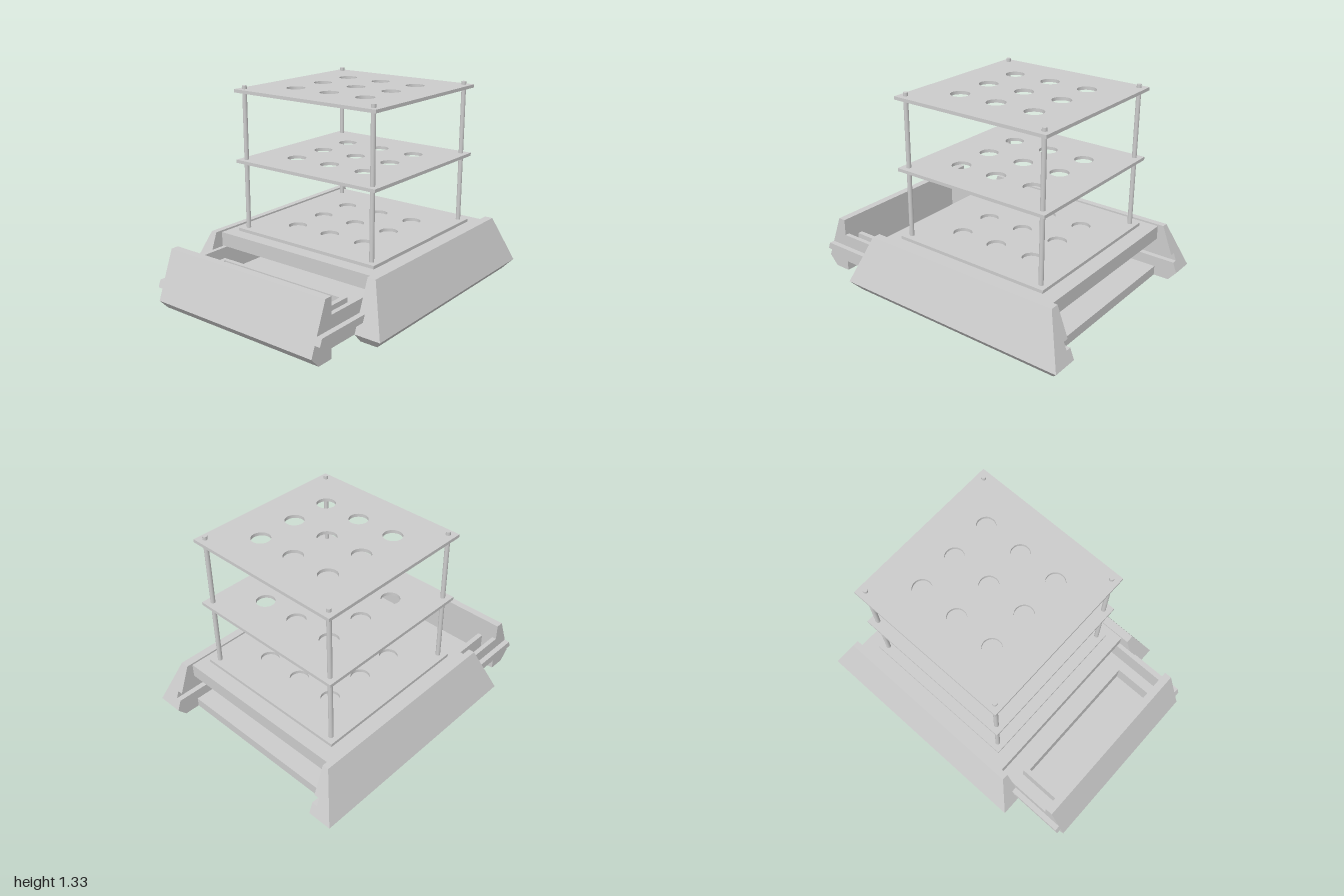
import * as THREE from 'three';

const mat = new THREE.MeshStandardMaterial({ color: 0xcccccc, flatShading: true, side: THREE.DoubleSide });
const smooth = new THREE.MeshStandardMaterial({ color: 0xcccccc });

const IN = 0.613;      // half width of the space between the side skirts
const OFF = -0.007;    // small sideways offset of everything between them

function add(parent, name, geo, material = mat) {
  const m = new THREE.Mesh(geo, material);
  m.name = name;
  parent.add(m);
  return m;
}

// box given by its limits
function box(parent, name, x0, x1, y0, y1, z0, z1) {
  const m = add(parent, name, new THREE.BoxGeometry(x1 - x0, y1 - y0, z1 - z0));
  m.position.set((x0 + x1) / 2, (y0 + y1) / 2, (z0 + z1) / 2);
  return m;
}

const shapeOf = pts => new THREE.Shape(pts.map(p => new THREE.Vector2(p[0], p[1])));

// extrudes a (z, y) profile along x from x0 to x1
function extrudeX(parent, name, pts, x0, x1) {
  const g = new THREE.ExtrudeGeometry(shapeOf(pts), { depth: x1 - x0, bevelEnabled: false });
  g.rotateY(-Math.PI / 2);
  g.translate(x1, 0, 0);
  return add(parent, name, g);
}

// how far the outer faces stand out at height y, relative to the widest line
const inset = y => (y < 0.07 ? (0.07 - y) * 0.85 : (y - 0.07) * 0.387);

// side skirt: profile with a groove, its ends sloped like its outer face
function skirt(side) {
  const group = new THREE.Group();
  group.name = side > 0 ? 'leftSkirt' : 'rightSkirt';
  const a = IN + side * OFF, b = a + 0.037;
  const upper = [[a, 0.07], [0.782, 0.07], [0.662, 0.38], [a, 0.38], [a, 0.19], [b, 0.19], [b, 0.14], [a, 0.14]];
  const lower = [[a, 0.005], [0.725, 0.005], [0.782, 0.07], [a, 0.07]];
  for (const [name, pts] of [['skirtWall', upper], ['skirtFoot', lower]]) {
    const mirrored = pts.map(([x, y]) => [x * side, y]);
    const g = new THREE.ExtrudeGeometry(shapeOf(mirrored), { depth: 1, bevelEnabled: false });
    const p = g.attributes.position;
    for (let i = 0; i < p.count; i++) {
      const d = inset(p.getY(i));
      p.setZ(i, p.getZ(i) > 0.5 ? 0.62 - d : -1 + d);
    }
    g.computeVertexNormals();
    add(group, name, g);
  }
  return group;
}

// square plate with nine round holes
function shelf(parent, name, y, thickness) {
  const s = shapeOf([[-0.55, -0.55], [0.55, -0.55], [0.55, 0.55], [-0.55, 0.55]]);
  for (let i = -1; i <= 1; i++) for (let j = -1; j <= 1; j++) {
    const hole = new THREE.Path();
    hole.absarc(i * 0.273, j * 0.273, 0.061, 0, Math.PI * 2, true);
    s.holes.push(hole);
  }
  const g = new THREE.ExtrudeGeometry(s, { depth: thickness, bevelEnabled: false, curveSegments: 24 });
  g.rotateX(-Math.PI / 2);
  add(parent, name, g).position.set(-0.002, y, -0.19);
}

function drawer() {
  const d = new THREE.Group();
  d.name = 'drawer';
  const back = -0.46, front = 0.83, t = 0.03;

  // sloped front panel
  extrudeX(d, 'drawerFront', [[front, 0.005], [0.94, 0.005], [1, 0.07], [0.88, 0.38], [front, 0.38]], -IN, IN);

  // tray
  box(d, 'drawerFloor', -IN, IN, 0.07, 0.1, back, front);
  box(d, 'drawerBack', -IN + t, IN - t, 0.1, 0.27, back, back + t);

  // inner compartment
  box(d, 'compartmentBack', -0.5, 0.5, 0.1, 0.24, 0.54, 0.57);

  for (const s of [-1, 1]) {
    const span = (a, b) => [Math.min(a * s, b * s), Math.max(a * s, b * s)];
    box(d, 'drawerSide', ...span(IN - t, IN), 0.1, 0.27, back, front);
    box(d, 'compartmentSide', ...span(0.467, 0.5), 0.1, 0.24, 0.57, front);
    // runner that slides in the skirt groove
    extrudeX(d, 'runner', [[back, 0.142], [0.972, 0.142], [0.954, 0.188], [back, 0.188]], ...span(IN, IN + 0.036));
  }
  return d;
}

export function createModel() {
  const model = new THREE.Group();
  model.name = 'drawerStand';

  model.add(skirt(1), skirt(-1));

  // base between the skirts, open at front and back
  const base = new THREE.Group();
  base.name = 'base';
  base.position.x = OFF;
  box(base, 'baseFloor', -IN, IN, 0.005, 0.069, -0.84, 0.45);
  box(base, 'platform', -IN, IN, 0.275, 0.368, -0.84, 0.45);
  model.add(base);

  const tray = drawer();
  tray.position.x = OFF;
  model.add(tray);

  // stacked shelves on four rods
  const rack = new THREE.Group();
  rack.name = 'rack';
  shelf(rack, 'bottomShelf', 0.368, 0.021);
  shelf(rack, 'middleShelf', 0.833, 0.021);
  shelf(rack, 'topShelf', 1.292, 0.021);
  for (const x of [-0.505, 0.499]) for (const z of [-0.693, 0.313]) {
    const rod = add(rack, 'rod', new THREE.CylinderGeometry(0.015, 0.015, 0.967, 20), smooth);
    rod.position.set(x, 0.368 + 0.4835, z);
  }
  model.add(rack);

  // stand exactly on the ground
  model.position.y = -0.005;
  const root = new THREE.Group();
  root.name = 'model';
  root.add(model);
  return root;
}
